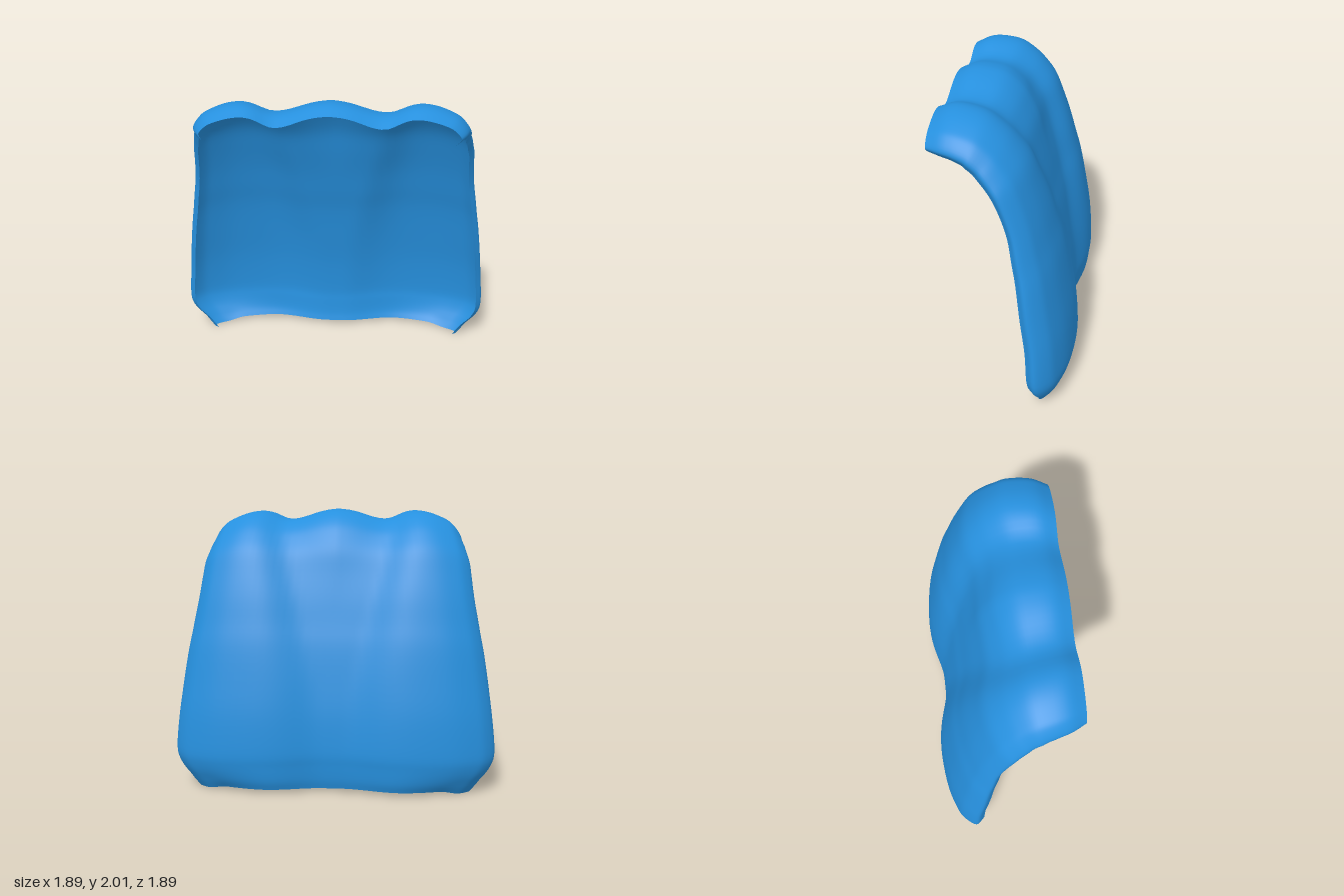
import * as THREE from 'three';

const V = (x, y, z) => new THREE.Vector3(x, y, z);
const curve = (pts) => new THREE.CatmullRomCurve3(pts.map((p) => V(...p)), false, 'catmullrom', 0.5);
const { smoothstep } = THREE.MathUtils;

// Hem to front rim: forward position, height, half width
const spine = curve([
  [-0.35, 0.025, 0.955], [-0.37, 0.09, 1.02], [-0.38, 0.19, 1.095], [-0.385, 0.3, 1.12],
  [-0.365, 0.55, 1.1], [-0.325, 0.8, 1.07], [-0.28, 1.04, 1.035], [-0.235, 1.21, 1.005],
  [-0.19, 1.38, 0.975], [-0.135, 1.55, 0.955], [-0.08, 1.7, 0.94], [-0.01, 1.81, 0.92],
  [0.07, 1.9, 0.9], [0.18, 1.975, 0.89], [0.3, 2.005, 0.875], [0.42, 2.005, 0.85], [0.525, 1.96, 0.8],
]);
// Matching rows: depth of the side flange, groove position, groove depth
const folds = curve([
  [0.14, 0.06, 0.075], [0.19, 0.06, 0.08], [0.25, 0.06, 0.08], [0.275, 0.06, 0.08],
  [0.27, 0.08, 0.08], [0.265, 0.1, 0.08], [0.25, 0.15, 0.08], [0.235, 0.19, 0.08],
  [0.22, 0.23, 0.08], [0.22, 0.28, 0.08], [0.235, 0.32, 0.08], [0.245, 0.35, 0.08],
  [0.25, 0.37, 0.08], [0.25, 0.37, 0.08], [0.24, 0.36, 0.08], [0.22, 0.35, 0.08], [0.17, 0.34, 0.08],
]);
// Half cross-section: width fraction, inset fraction
const section = curve([
  [0, 0, 0], [0.25, 0, 0], [0.52, 0, 0], [0.74, 0.1, 0], [0.89, 0.29, 0],
  [0.965, 0.47, 0], [1.02, 0.78, 0], [0.98, 1, 0],
]);

// Point on the shell; s runs -1..1 across, t runs 0..1 from hem to rim
function shellPoint(s, t) {
  const row = spine.getPoint(t);
  const fold = folds.getPoint(t);
  const tan = spine.getPoint(Math.min(1, t + 0.01)).sub(spine.getPoint(Math.max(0, t - 0.01)));
  // Outward direction in the side plane
  const n = new THREE.Vector2(Math.min(0, -tan.y), Math.max(0, tan.x)).normalize();
  const c = section.getPoint(Math.abs(s));
  const half = c.x * row.z;
  // Two grooves at the top; the lobe between them sinks into one wide valley lower down
  const inside = half < fold.y;
  const width = (0.27 - 0.15 * t) * (inside ? 1.5 : 1);
  const bell = Math.exp(-(((half - fold.y) / width) ** 2));
  const sunk = 1 - smoothstep(t, 0.45, 0.85);
  const groove = fold.z * (inside ? bell + (1 - bell) * sunk : bell);
  const inset = c.y * fold.x + groove;
  // Hem corners tuck forward and hang slightly lower
  const low = Math.max(0, 1 - row.y / 0.24) ** 2;
  const tuck = 0.07 * smoothstep(half, 0.4, 0.95) * low;
  const drop = 0.025 * smoothstep(half, 0.75, 0.9) * Math.max(0, 1 - t * 16);
  return V(Math.sign(s) * half, row.y - n.y * inset - drop, row.x - n.x * inset + tuck);
}

export function createModel() {
  const group = new THREE.Group();
  group.name = 'drapedCape';
  const blue = new THREE.MeshStandardMaterial({ color: 0x2690de, side: THREE.DoubleSide });
  blue.name = 'blue cloth';

  const cols = 72, rows = 64;
  const positions = [], index = [];
  for (let i = 0; i <= rows; i++) {
    for (let j = 0; j <= cols; j++) {
      const p = shellPoint((j / cols) * 2 - 1, i / rows);
      positions.push(p.x, p.y, p.z);
      if (i < rows && j < cols) {
        const a = i * (cols + 1) + j, b = a + cols + 1;
        index.push(a, b, a + 1, b, b + 1, a + 1);
      }
    }
  }
  const geometry = new THREE.BufferGeometry();
  geometry.setAttribute('position', new THREE.Float32BufferAttribute(positions, 3));
  geometry.setIndex(index);
  // The cape stands diagonally, opening toward -x and +z
  geometry.rotateY(-Math.PI / 4);
  geometry.computeVertexNormals();

  const cape = new THREE.Mesh(geometry, blue);
  cape.name = 'cape';
  group.add(cape);
  return group;
}
